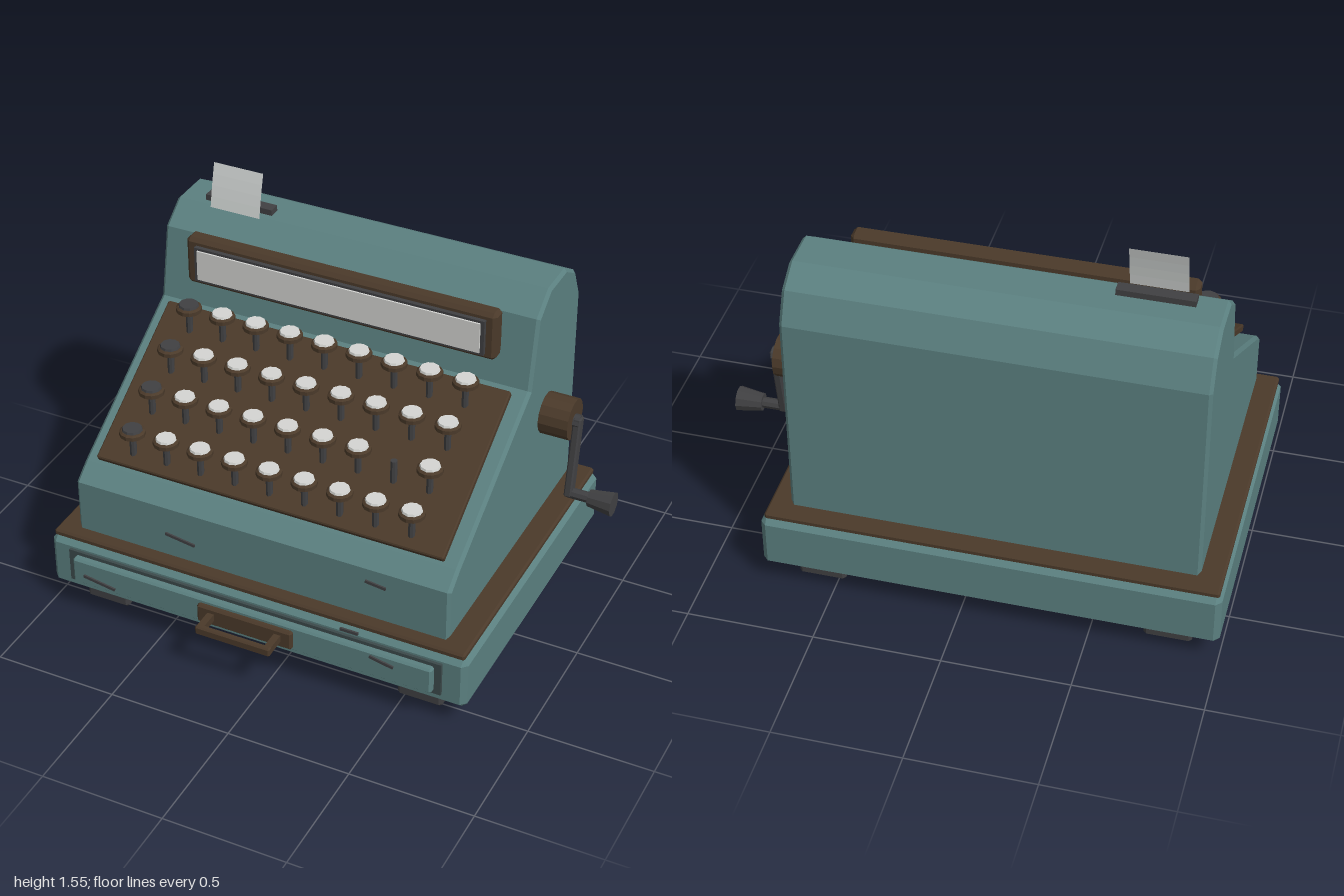
import * as THREE from 'three';
import { ConvexGeometry } from 'three/addons/geometries/ConvexGeometry.js';

const material = (name, color, extra = {}) =>
  Object.assign(new THREE.MeshStandardMaterial({ color, flatShading: true, ...extra }), { name });

// Box given by its limits, with every edge cut off by c
function chamferBox([x0, x1], [y0, y1], [z0, z1], c) {
  const half = [(x1 - x0) / 2, (y1 - y0) / 2, (z1 - z0) / 2];
  const points = [];
  for (const sx of [-1, 1]) for (const sy of [-1, 1]) for (const sz of [-1, 1]) {
    for (let axis = 0; axis < 3; axis++) {
      const p = half.map((h, i) => (i === axis ? h : h - c));
      points.push(new THREE.Vector3(sx * p[0], sy * p[1], sz * p[2]));
    }
  }
  return new ConvexGeometry(points).translate((x0 + x1) / 2, (y0 + y1) / 2, (z0 + z1) / 2);
}

function plainBox([x0, x1], [y0, y1], [z0, z1]) {
  return new THREE.BoxGeometry(x1 - x0, y1 - y0, z1 - z0)
    .translate((x0 + x1) / 2, (y0 + y1) / 2, (z0 + z1) / 2);
}

export function createModel() {
  const teal = material('teal enamel', 0x5b8080);
  const darkTeal = material('dark teal', 0x3c4a4b);
  const brown = material('brown wood', 0x4b3a2a);
  const dark = material('dark metal', 0x404042);
  const ivory = material('ivory', 0xd4d5d2);
  const paperWhite = material('paper', 0xd2d6d4, { side: THREE.DoubleSide });

  const model = new THREE.Group();
  model.name = 'cashRegister';
  const add = (name, geometry, mat, parent = model) => {
    const mesh = new THREE.Mesh(geometry, mat);
    mesh.name = name;
    parent.add(mesh);
    return mesh;
  };
  const group = (name) => {
    const g = new THREE.Group();
    g.name = name;
    model.add(g);
    return g;
  };

  // Base, trim and feet
  add('base', chamferBox([-1, 0.78], [0.085, 0.31], [-0.75, 0.59], 0.022), teal);
  add('baseTrim', chamferBox([-0.99, 0.765], [0.305, 0.335], [-0.735, 0.575], 0.008), brown);
  for (const x of [-0.795, 0.565]) for (const z of [0.435, -0.59]) {
    add('foot', chamferBox([x - 0.093, x + 0.093], [0, 0.088], [z - 0.09, z + 0.09], 0.012), dark);
  }

  // Drawer and its pull
  const drawer = group('drawer');
  add('drawerSurround', plainBox([-0.91, 0.685], [0.135, 0.28], [0.57, 0.602]), darkTeal, drawer);
  add('drawerFront', chamferBox([-0.88, 0.657], [0.15, 0.265], [0.58, 0.63], 0.008), teal, drawer);
  add('pullPlate', chamferBox([-0.317, 0.088], [0.167, 0.25], [0.625, 0.652], 0.008), brown, drawer);
  for (const x of [-0.255, 0.03]) {
    add('pullArm', plainBox([x - 0.014, x + 0.014], [0.197, 0.227], [0.645, 0.735]), brown, drawer);
  }
  add('pullBar', chamferBox([-0.272, 0.046], [0.193, 0.231], [0.724, 0.75], 0.006), brown, drawer);

  // Body: side outline in (z, y), extruded across the width
  const outline = [
    [0.525, 0.34], [0.525, 0.56], [0.45, 0.618], [-0.19, 1.012], [-0.245, 1.3],
    [-0.35, 1.378], [-0.51, 1.378], [-0.61, 1.317], [-0.665, 1.195], [-0.665, 0.34],
  ].map(([z, y]) => new THREE.Vector2(z, y));
  const bevel = 0.013;
  const body = new THREE.ExtrudeGeometry(new THREE.Shape(outline), {
    depth: 1.585 - 2 * bevel, bevelEnabled: true, bevelSegments: 1,
    bevelThickness: bevel, bevelSize: bevel, bevelOffset: -bevel,
  });
  body.rotateY(-Math.PI / 2).translate(0.68 - bevel, 0, 0);
  add('body', body, teal);

  // Sloping key panel
  const panel = add('keyPanel', chamferBox([-0.845, 0.62], [-0.015, 0.015], [-0.354, 0.354], 0.005), brown);
  panel.position.set(0, 0.83, 0.153);
  panel.rotation.x = 0.555;

  // Keys: nine columns by four rows, one cap missing
  const keys = group('keys');
  const stemGeometry = new THREE.CylinderGeometry(0.014, 0.014, 0.11, 8);
  const capGeometry = new THREE.LatheGeometry(
    [[0, -0.016], [0.04, -0.016], [0.051, -0.009], [0.051, 0.007], [0.043, 0.013], [0, 0.013]]
      .map(([r, y]) => new THREE.Vector2(r, y)), 12);
  const topGeometry = new THREE.CylinderGeometry(0.038, 0.042, 0.012, 10);
  for (let row = 0; row < 4; row++) for (let column = 0; column < 9; column++) {
    const x = -0.705 + column * 0.147;
    const y = 0.783 + row * 0.098;
    const z = 0.412 - row * 0.156;
    add('keyStem', stemGeometry, dark, keys).position.set(x, y - 0.062, z);
    if (row === 1 && column === 7) continue;
    add('keyCap', capGeometry, brown, keys).position.set(x, y, z);
    add('keyTop', topGeometry, column === 0 ? dark : ivory, keys).position.set(x, y + 0.016, z);
  }

  // Display window
  const display = group('display');
  add('displayFrame', chamferBox([-0.77, 0.54], [1.12, 1.325], [-0.235, -0.164], 0.015), brown, display);
  add('displayBezel', plainBox([-0.724, 0.5], [1.148, 1.298], [-0.18, -0.147]), dark, display);
  add('displayPanel', plainBox([-0.71, 0.485], [1.16, 1.288], [-0.147, -0.14]), ivory, display);

  // Paper slot and slightly curled receipt
  add('paperSlot', plainBox([-0.79, -0.5], [1.375, 1.402], [-0.42, -0.373]), dark);
  const paper = new THREE.PlaneGeometry(0.215, 0.18, 1, 4);
  const pos = paper.attributes.position;
  for (let i = 0; i < pos.count; i++) {
    const t = pos.getY(i) / 0.18 + 0.5;
    pos.setXYZ(i, pos.getX(i) - 0.642, 1.375 + 0.18 * t, -0.335 - 0.03 * t - 0.01 * t * t);
  }
  add('receipt', paper, paperWhite);

  // Crank on the left side
  const crank = group('crank');
  const turned = (name, rInner, rOuter, x0, x1, y, z, sides, mat) => {
    const g = new THREE.CylinderGeometry(rInner, rOuter, x1 - x0, sides).rotateZ(Math.PI / 2);
    add(name, g, mat, crank).position.set((x0 + x1) / 2, y, z);
  };
  turned('crankHub', 0.084, 0.084, 0.67, 0.8, 0.815, -0.364, 14, brown);
  turned('crankAxle', 0.03, 0.03, 0.79, 0.825, 0.81, -0.362, 8, dark);
  const arm = add('crankArm', chamferBox([0.8, 0.832], [-0.17, 0.17], [-0.023, 0.023], 0.006), dark, crank);
  arm.position.set(0, 0.665, -0.334);
  arm.rotation.x = -0.17;
  turned('crankPin', 0.022, 0.022, 0.81, 0.91, 0.512, -0.307, 8, dark);
  turned('crankGrip', 0.035, 0.05, 0.9, 1, 0.512, -0.307, 10, dark);

  // Scratches in the enamel: x, y, z, length, tilt
  for (const [x, y, z, length, tilt] of [
    [-0.448, 0.432, 0.528, 0.128, -0.15], [0.38, 0.5, 0.528, 0.085, -0.12],
    [-0.76, 0.187, 0.633, 0.14, -0.16], [0.455, 0.236, 0.633, 0.1, -0.2],
    [0.302, 0.297, 0.591, 0.075, 0],
  ]) {
    const scratch = add('scratch', new THREE.BoxGeometry(length, 0.012, 0.008), dark);
    scratch.position.set(x, y, z);
    scratch.rotation.z = tilt;
  }

  return model;
}
